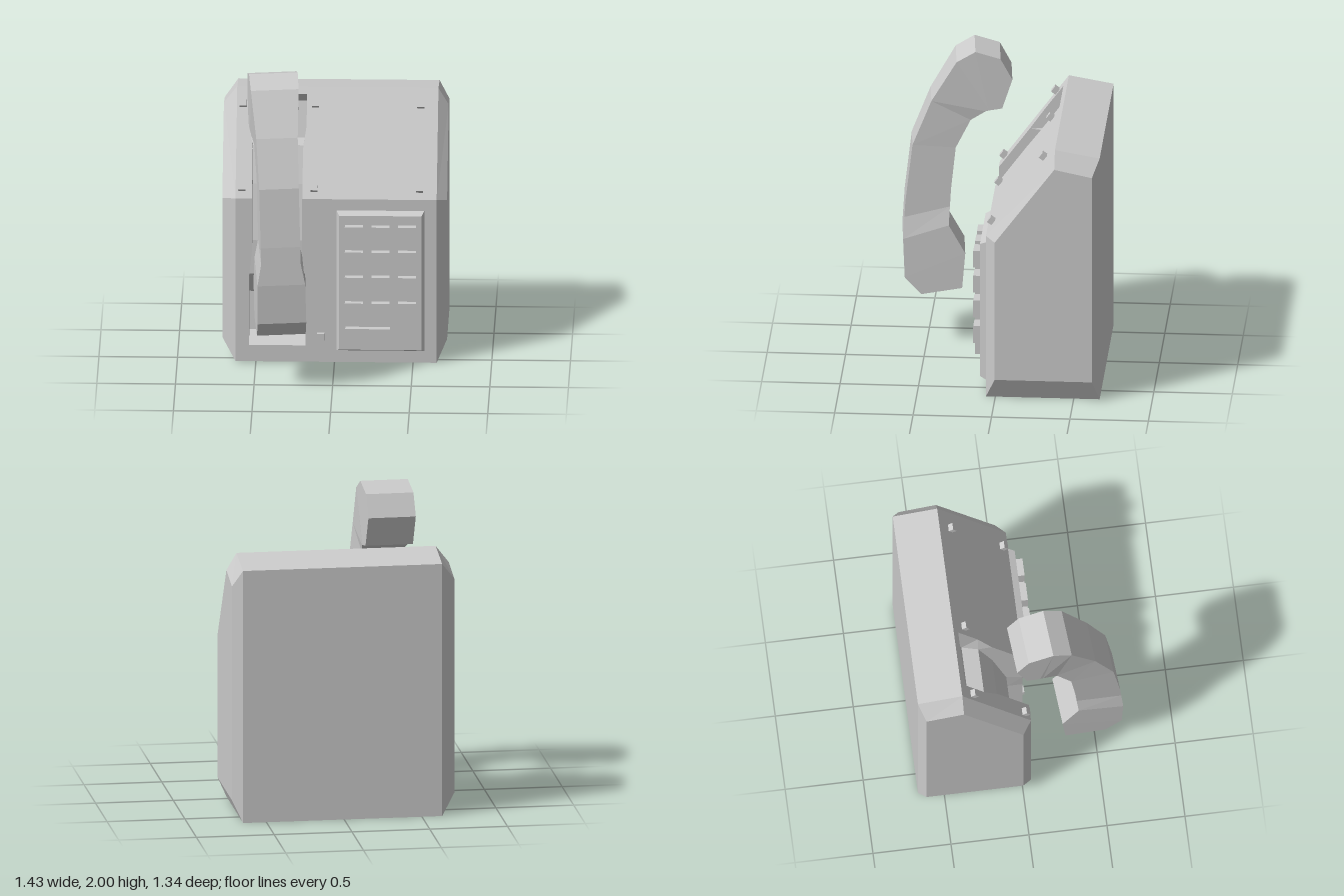
import * as THREE from 'three';

const material = new THREE.MeshStandardMaterial({ color: 0xcccccc, flatShading: true });

// Collects quads and fans (counter-clockwise corners) into one faceted mesh
function faceted(name, faces) {
  const pos = [];
  for (const f of faces)
    for (let i = 1; i < f.length - 1; i++) pos.push(...f[0], ...f[i], ...f[i + 1]);
  const geo = new THREE.BufferGeometry();
  geo.setAttribute('position', new THREE.Float32BufferAttribute(pos, 3));
  geo.computeVertexNormals();
  return named(name, geo);
}

function named(name, geo) {
  const mesh = new THREE.Mesh(geo, material);
  mesh.name = name;
  return mesh;
}

function box(name, w, h, d, x, y, z) {
  const mesh = named(name, new THREE.BoxGeometry(w, h, d));
  mesh.position.set(x, y, z);
  return mesh;
}

// Depth of the housing front: upright below, sloping back above
const frontZ = (y) => 0.06 - Math.max(0, y - 1.1) * (0.44 / 0.6);

function makeHousing() {
  const faces = [];
  const xl = -0.63, xr = 0.65, side = 0.715;
  // profiles as [z, y]: full outline and the smaller outline of the sides
  const full = [[0.06, 0], [0.06, 1.1], [-0.38, 1.7], [-0.665, 1.65], [-0.665, 0]];
  const inset = [[0, 0.14], [0, 1.08], [-0.38, 1.59], [-0.62, 1.54], [-0.62, 0.14]];
  const at = (x, [z, y]) => [x, y, z];
  full.forEach((p, i) => {
    const j = (i + 1) % full.length, q = full[j];
    // chamfers on both sides
    faces.push([at(xr, p), at(side, inset[i]), at(side, inset[j]), at(xr, q)]);
    faces.push([at(xl, p), at(xl, q), at(-side, inset[j]), at(-side, inset[i])]);
    // top, back and bottom
    if (i > 1) faces.push([at(xl, p), at(xr, p), at(xr, q), at(xl, q)]);
  });
  faces.push(inset.map((p) => at(-side, p)));
  faces.push(inset.map((p) => at(side, p)).reverse());

  // cradle recess rows, top to bottom: [rim y, half width, floor z, floor y]
  const cx = -0.365;
  const rows = [
    [1.66, 0.18, frontZ(1.66), 1.66],
    [1.62, 0.18, -0.4, 1.6],
    [1.49, 0.18, -0.33, 1.375],
    [1.37, 0.16, -0.225, 1.36],
    [1.1, 0.16, -0.135, 1.13],
    [0.75, 0.16, -0.045, 0.78],
    [0.56, 0.18, -0.035, 0.56],
    [0.4, 0.18, -0.15, 0.4],
    [0.15, 0.18, -0.13, 0.15],
    [0.11, 0.18, 0.06, 0.11],
  ].map(([y, hw, fz, fy]) => ({
    outL: [xl, y, frontZ(y)], outR: [xr, y, frontZ(y)],
    rimL: [cx - hw, y, frontZ(y)], rimR: [cx + hw, y, frontZ(y)],
    floorL: [cx - hw, fy, fz], floorR: [cx + hw, fy, fz],
  }));
  for (let i = 0; i < rows.length - 1; i++) {
    const a = rows[i], b = rows[i + 1];
    faces.push(
      [b.outL, b.rimL, a.rimL, a.outL],
      [b.rimR, b.outR, a.outR, a.rimR],
      [b.floorL, b.floorR, a.floorR, a.floorL],
      [b.rimL, b.floorL, a.floorL, a.rimL],
      [b.floorR, b.rimR, a.rimR, a.floorR],
    );
  }
  // front strips above and below the recess
  const first = rows[0], last = rows[rows.length - 1];
  faces.push([first.outL, first.outR, at(xr, full[2]), at(xl, full[2])]);
  faces.push([at(xl, full[0]), at(xr, full[0]), last.outR, last.outL]);
  return faceted('housing', faces);
}

// Joins four-cornered rings into a closed solid
function loft(name, rings) {
  const faces = [[...rings[0]].reverse(), rings[rings.length - 1]];
  for (let i = 0; i < rings.length - 1; i++)
    for (let j = 0; j < 4; j++) {
      const k = (j + 1) % 4;
      faces.push([rings[i][j], rings[i][k], rings[i + 1][k], rings[i + 1][j]]);
    }
  return faceted(name, faces);
}

function makeHandset() {
  // stations from earpiece to mouthpiece: [outer z, outer y, inner z, inner y, half width]
  const py = 1.2, pz = 0.3;
  const rings = [
    [-0.035, 1.81, 0.03, 1.615, 0.155],
    [0.04, 1.95, 0.08, 1.607, 0.155],
    [0.2, 2.0, 0.115, 1.602, 0.155],
    [0.32, 1.93, 0.135, 1.595, 0.152],
    [0.48, 1.66, 0.23, 1.53, 0.132],
    [0.6, 1.36, 0.325, 1.34, 0.126],
    [0.645, 0.98, 0.355, 1.06, 0.126],
    [0.652, 0.87, 0.362, 0.94, 0.126],
    [0.66, 0.73, 0.37, 0.82, 0.152],
    [0.65, 0.47, 0.265, 0.63, 0.155],
    [0.545, 0.355, 0.285, 0.395, 0.155],
  ].map(([oz, oy, iz, iy, hw]) => [
    [hw, oy - py, oz - pz], [-hw, oy - py, oz - pz],
    [-hw, iy - py, iz - pz], [hw, iy - py, iz - pz],
  ]);
  const handset = loft('handset', rings);
  handset.position.set(-0.362, py, pz);
  handset.rotation.set(0, 0.087, 0.018);
  return handset;
}

function makeKeypad() {
  const keypad = new THREE.Group();
  keypad.name = 'keypad';
  // bevelled plate
  const ring = (l, r, b, t, z) => [[r, t, z], [r, b, z], [l, b, z], [l, t, z]].reverse();
  keypad.add(loft('keypadPlate', [
    ring(0.01, 0.575, 0.075, 1.03, 0.05).reverse(),
    ring(0.03, 0.555, 0.1, 1.005, 0.105).reverse(),
  ].reverse()));
  // keys and the wide bar below them
  for (const y of [0.885, 0.715, 0.545, 0.37])
    for (const x of [0.125, 0.295, 0.463]) keypad.add(box('key', 0.115, 0.115, 0.06, x, y, 0.12));
  keypad.add(box('wideKey', 0.285, 0.085, 0.06, 0.213, 0.213, 0.12));
  return keypad;
}

export function createModel() {
  const model = new THREE.Group();
  model.name = 'telephone';
  model.add(makeHousing(), makeHandset(), makeKeypad());

  // studs on the sloped panel
  for (const y of [1.605, 1.155])
    for (const x of [-0.59, -0.13, 0.54]) {
      const stud = box('stud', 0.045, 0.04, 0.07, x, y, frontZ(y));
      stud.rotation.x = -Math.atan2(0.44, 0.6);
      model.add(stud);
    }
  model.add(box('hookButton', 0.045, 0.045, 0.04, -0.087, 0.175, 0.063));
  return model;
}
